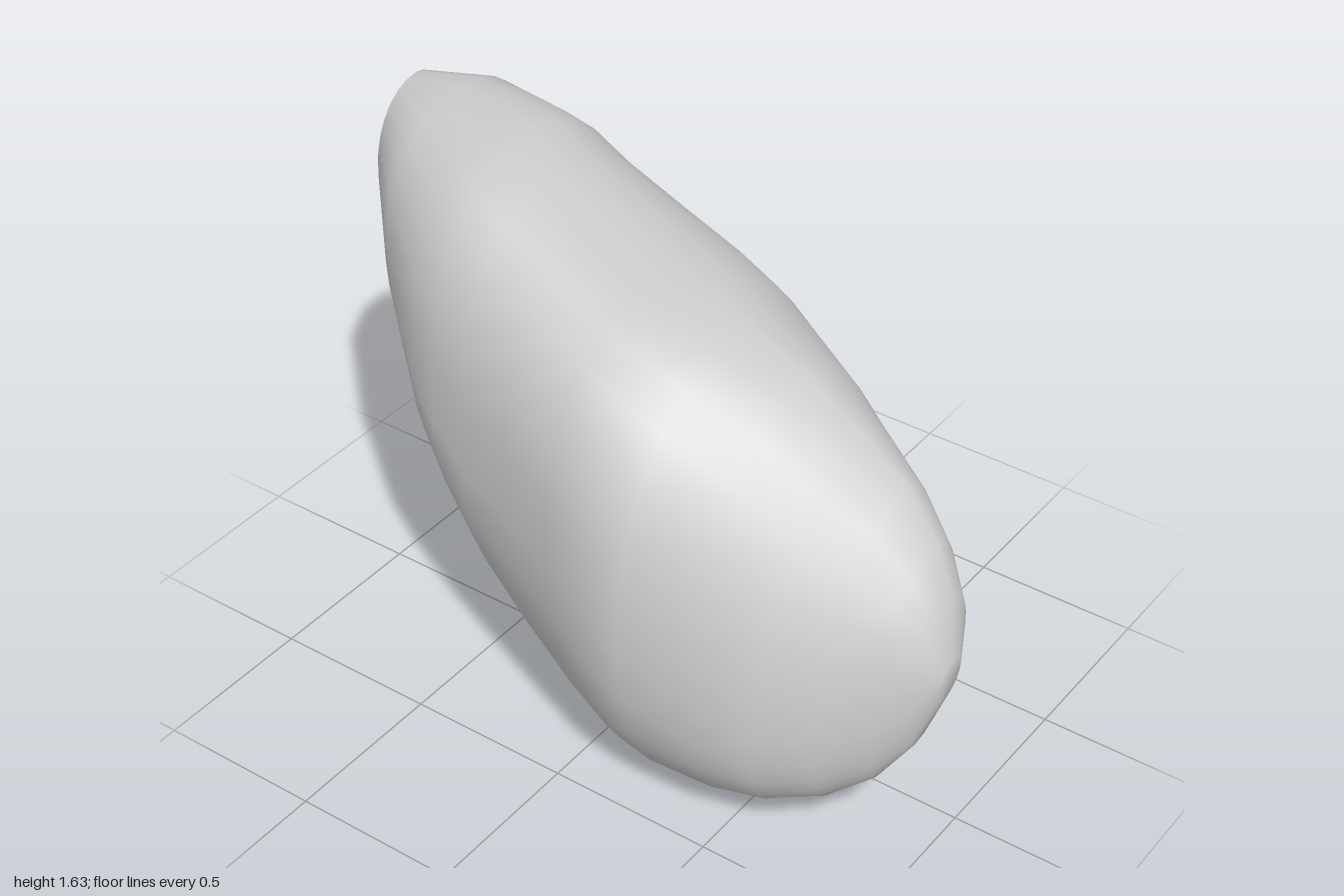
import * as THREE from 'three';

// Cross-sections along x: [x, topY, topZ, frontZ, frontY, bottomY, bottomZ, backZ, backY]
const SECTIONS = [
  [-1.0, 1.57, -0.16, -0.07, 1.43, 1.29, -0.14, -0.21, 1.43],
  [-0.97, 1.62, -0.18, 0.01, 1.38, 1.16, -0.13, -0.28, 1.36],
  [-0.8, 1.63, -0.18, 0.19, 1.25, 0.88, -0.08, -0.45, 1.28],
  [-0.6, 1.62, -0.15, 0.335, 1.02, 0.59, -0.01, -0.49, 1.17],
  [-0.5, 1.61, -0.12, 0.375, 0.93, 0.42, -0.01, -0.515, 1.1],
  [-0.38, 1.56, -0.09, 0.41, 0.85, 0.25, 0, -0.54, 0.98],
  [-0.2, 1.49, -0.07, 0.46, 0.8, 0.13, 0.05, -0.57, 0.85],
  [0.0, 1.42, -0.05, 0.52, 0.74, 0.04, 0.1, -0.56, 0.82],
  [0.15, 1.38, -0.04, 0.56, 0.67, 0.015, 0.12, -0.52, 0.81],
  [0.25, 1.34, -0.03, 0.55, 0.59, 0.0, 0.12, -0.47, 0.81],
  [0.45, 1.24, -0.04, 0.51, 0.48, 0.04, 0.15, -0.37, 0.81],
  [0.62, 1.12, -0.05, 0.46, 0.41, 0.1, 0.2, -0.265, 0.79],
  [0.76, 1.01, -0.05, 0.37, 0.41, 0.16, 0.22, -0.195, 0.75],
  [0.87, 0.9, -0.02, 0.28, 0.44, 0.25, 0.21, -0.13, 0.7],
  [0.95, 0.78, 0.02, 0.21, 0.5, 0.37, 0.17, -0.06, 0.65],
  [1.0, 0.63, 0.08, 0.15, 0.57, 0.52, 0.12, 0.04, 0.6],
];

// Fullness of each quarter along x (below 1 bulges, near 2 is straight):
// [x, top-front, front-bottom, bottom-back, back-top]
const FULLNESS = [
  [-1.0, 0.95, 1, 0.9, 0.95],
  [-0.8, 0.85, 1, 1.1, 0.86],
  [-0.6, 0.79, 1, 1.25, 0.92],
  [-0.38, 0.76, 1, 0.97, 0.97],
  [0.0, 0.77, 0.95, 1.14, 1],
  [0.25, 0.9, 0.88, 1.14, 1.08],
  [0.5, 1.05, 0.78, 1.18, 1.15],
  [0.76, 1.15, 0.78, 1.15, 1.1],
  [1.0, 1, 1, 1, 1],
];
const STEPS = 7; // points per quarter of a section
const N = STEPS * 4;

function fullnessAt(x, quarter) {
  const i = Math.max(1, FULLNESS.findIndex((row) => row[0] >= x));
  const p = FULLNESS[i - 1], q = FULLNESS[i];
  return THREE.MathUtils.mapLinear(x, p[0], q[0], p[quarter + 1], q[quarter + 1]);
}

// Closed loop: top, front, bottom, back, with a rounded arc in each quarter
function sectionLoop([x, ty, tz, fz, fy, by, bz, kz, ky]) {
  const pts = [];
  const poles = [[ty, tz], [fy, fz], [by, bz], [ky, kz]];
  for (let q = 0; q < 4; q++) {
    const [y0, z0] = poles[q];
    const [y1, z1] = poles[(q + 1) % 4];
    const power = fullnessAt(x, q);
    for (let i = 0; i < STEPS; i++) {
      const a = (i / STEPS) * Math.PI / 2;
      const c = Math.pow(Math.cos(a), power);
      const s = Math.pow(Math.sin(a), power);
      // z leads away from the top and bottom poles, y from the front and back ones
      const [u, v] = q % 2 === 0 ? [1 - c, s] : [s, 1 - c];
      pts.push([x, y0 + (y1 - y0) * u, z0 + (z1 - z0) * v]);
    }
  }
  return pts;
}

function boulderGeometry() {
  const loops = SECTIONS.map(sectionLoop);
  const position = loops.flat(2);
  const index = [];
  for (let i = 0; i < loops.length - 1; i++) {
    for (let j = 0; j < N; j++) {
      const k = (j + 1) % N;
      const a = i * N + j, b = i * N + k, c = a + N, d = b + N;
      index.push(a, b, c, b, d, c);
    }
  }
  // Close both ends with a fan around the loop's middle
  [0, loops.length - 1].forEach((i) => {
    const mid = [0, 1, 2].map((n) => loops[i].reduce((t, p) => t + p[n], 0) / N);
    const m = position.length / 3;
    position.push(...mid);
    for (let j = 0; j < N; j++) {
      const a = i * N + j, b = i * N + (j + 1) % N;
      if (i === 0) index.push(m, b, a);
      else index.push(m, a, b);
    }
  });
  const geo = new THREE.BufferGeometry();
  geo.setAttribute('position', new THREE.Float32BufferAttribute(position, 3));
  geo.setIndex(index);
  geo.computeVertexNormals();
  return geo;
}

export function createModel() {
  const stone = new THREE.MeshStandardMaterial({ color: 0xc8c8c8 });
  stone.name = 'stone grey';
  const boulder = new THREE.Mesh(boulderGeometry(), stone);
  boulder.name = 'boulder';
  const group = new THREE.Group();
  group.name = 'rock';
  group.add(boulder);
  return group;
}
